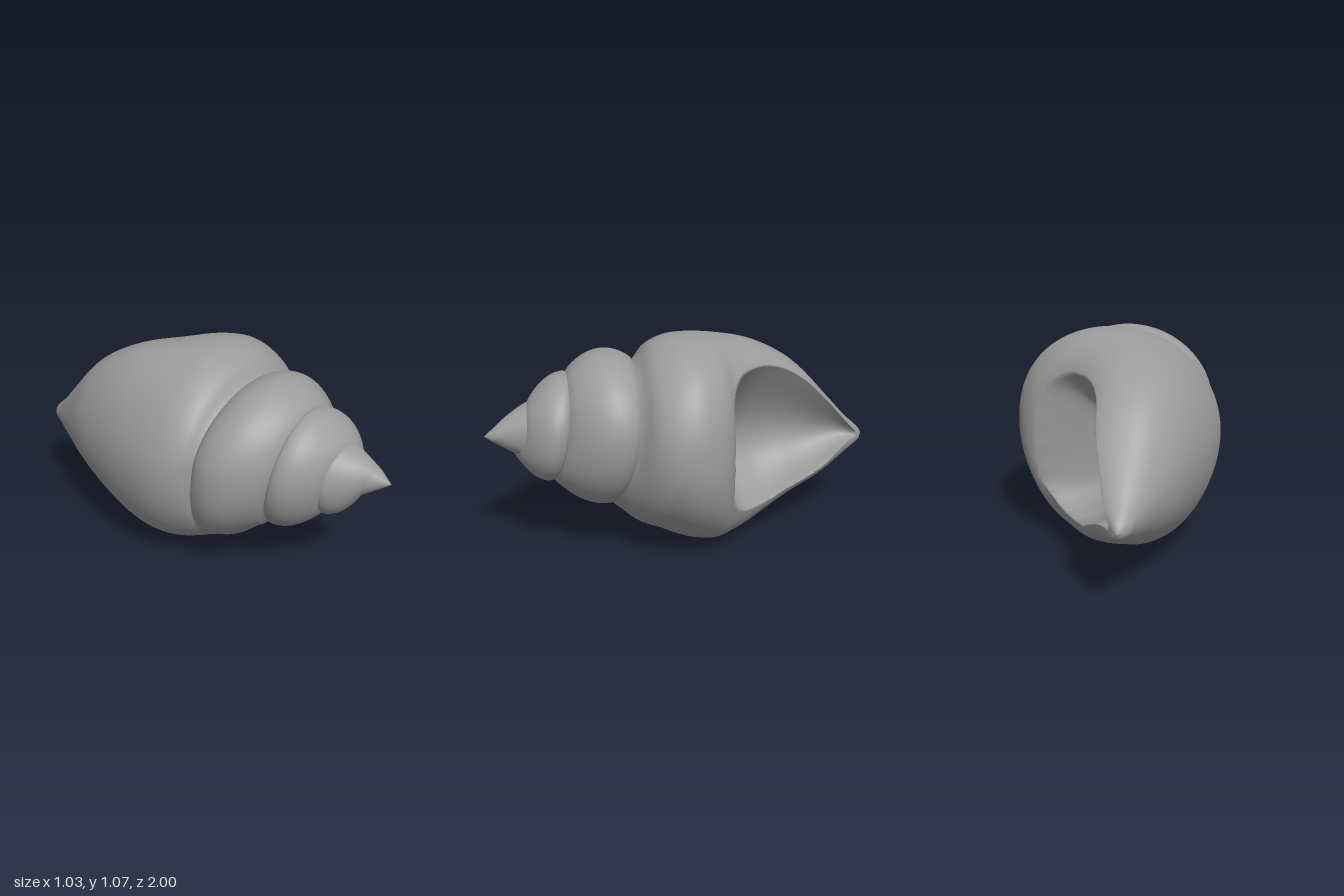
import * as THREE from 'three';

// Smooth 1D curve through [t, value] pairs
function curve(pairs) {
  const f = new THREE.CubicInterpolant(pairs.map(p => p[0]), pairs.map(p => p[1]), 1, new Float32Array(1));
  return t => f.evaluate(t)[0];
}
const steps = values => curve(values.map((v, i) => [i, v]));
const { lerp, smoothstep } = THREE.MathUtils;

// Shell axis (z runs from the canal tip at -1 to the apex at +1)
const axisX = curve([[-1, -.07], [-.6, -.1], [-.3, -.08], [0, 0], [.3, 0]]);
const axisY = curve([[-1, .43], [-.6, .53], [-.3, .53], [0, .55], [.25, .63], [1, .63]]);

// Outlines of the body whorl on its four sides
const leftX = curve([[-1, -.075], [-.985, -.1], [-.9, -.16], [-.8, -.225], [-.6, -.345], [-.4, -.425], [-.2, -.485],
  [0, -.515], [.1, -.5], [.16, -.47], [.2, -.43], [.3, -.42], [.55, -.4]]);
const rightX = curve([[-1, -.065], [-.985, -.05], [-.95, -.025], [-.85, .04], [-.75, .105], [-.66, .145], [-.5, .175],
  [-.3, .26], [-.17, .36], [-.1, .45], [0, .505], [.1, .515], [.2, .48], [.26, .42], [.31, .33], [.42, .33], [.55, .32]]);
const topY = curve([[-1, .435], [-.985, .46], [-.95, .495], [-.9, .54], [-.8, .65], [-.6, .86], [-.4, .98], [-.2, 1.04],
  [0, 1.07], [.1, 1.06], [.2, 1.01], [.26, .94], [.33, .93], [.55, .9]]);
const bottomY = curve([[-1, .425], [-.985, .4], [-.95, .378], [-.9, .353], [-.8, .3], [-.6, .2], [-.4, .1], [-.2, .02],
  [-.1, .003], [0, .015], [.1, .05], [.2, .095], [.3, .14], [.42, .25], [.55, .3]]);

// Spiral tables, one entry per quarter turn: bottom, left, top, right, ...
const sutureZ = steps([.13, .2, .26, .31, .42, .55, .59, .62, .69, .75, .79, .81, .86, .9, .93, .95, .975, 1]);
const sutureR = steps([.4, .4, .4, .38, .38, .32, .25, .2, .245, .19, .13, .1, .1, .08, .055, .035, .02, 0]);
const bulge = steps([.075, .085, .075, .075, .055, .055, .04, .065, .05, .015, .005, 0, 0, 0, 0, 0, 0, 0]);
const LAST = 17;

// Aperture: edges and depth along z
const mouthTop = curve([[-.96, .45], [-.88, .53], [-.75, .67], [-.6, .81], [-.45, .89], [-.3, .91], [-.2, .88], [-.14, .8]]);
const mouthBottom = curve([[-.96, .43], [-.88, .42], [-.7, .33], [-.5, .245], [-.35, .21], [-.2, .24], [-.14, .32]]);
const mouthDepth = curve([[-.96, 0], [-.9, .05], [-.85, .09], [-.7, .2], [-.5, .28], [-.4, .31], [-.3, .34], [-.2, .38],
  [-.175, .36], [-.155, .15], [-.14, 0]]);

const angle = k => -Math.PI / 2 * (1 + k);
const seamZ = k => k >= LAST ? 1 : sutureZ(k);

// Radius of the body whorl, a rounded section fitted to the four outlines.
// Past the first quarter each outline slides so its shoulder meets the winding suture.
function bodyR(k, z) {
  const c = Math.cos(angle(k)), s = Math.sin(angle(k));
  const slide = k > 1 ? smoothstep(z, -.05, .2) : 0;
  const at = quarter => z + slide * (sutureZ(quarter) - sutureZ(k));
  const a = c > 0 ? rightX(at(3)) - axisX(z) : axisX(z) - leftX(at(1));
  const b = s > 0 ? topY(at(2)) - axisY(z) : axisY(z) - bottomY(at(4));
  // fuller lower lip on the aperture side, flatter upper left
  let p = 2;
  if (c > 0) p += s > 0 ? .3 * smoothstep(-z, -.2, 0) : 1.4 * smoothstep(-z, 0, .35);
  else if (s > 0) p = 1.88;
  return (Math.abs(c / Math.max(.001, a)) ** p + Math.abs(s / Math.max(.001, b)) ** p) ** (-1 / p);
}
const seamR = k => k >= LAST ? 0 : k < 4 ? bodyR(k, seamZ(k)) : sutureR(k);

function place(k, z, r) {
  return new THREE.Vector3(axisX(z) + r * Math.cos(angle(k)), axisY(z) + r * Math.sin(angle(k)), z);
}

// Body whorl with the aperture hollowed in from the +x side
function bodyPoint(u, v) {
  const k = u * 4, z = -1 + (seamZ(k) + 1) * v ** 1.25;
  const p = place(k, z, bodyR(k, z));
  if (p.x > axisX(z) && z > -.96 && z < -.14) {
    // deepest below the middle, with a soft lower lip
    const hi = mouthTop(z), lo = mouthBottom(z), t = (p.y - lo) / (hi - lo);
    const q = 2 * Math.max(0, Math.min(1, t)) ** .75 - 1;
    p.x -= Math.max(0, mouthDepth(z)) * (1 - q * q) ** .9;
  }
  return p;
}

// Spire: one long strip winding up to the apex between neighbouring sutures
function spirePoint(u, v) {
  const k = u * LAST;
  const z = lerp(seamZ(k), seamZ(k + 4), v);
  const r = lerp(seamR(k), seamR(k + 4), v) + bulge(k) * Math.max(0, Math.sin(Math.PI * v)) ** .7;
  // the first quarter turn grows smoothly out of the body whorl
  const w = Math.max(smoothstep(k, 0, .8), v ** 6);
  return place(k, z, w < 1 ? lerp(bodyR(k, z), r, w) : r);
}

function sheet(point, nu, nv) {
  const pos = [], index = [];
  for (let i = 0; i <= nu; i++) {
    for (let j = 0; j <= nv; j++) {
      pos.push(...point(i / nu, j / nv).toArray());
      if (i < nu && j < nv) {
        const a = i * (nv + 1) + j, b = a + nv + 1;
        index.push(a, a + 1, b, b, a + 1, b + 1);
      }
    }
  }
  const g = new THREE.BufferGeometry();
  g.setAttribute('position', new THREE.Float32BufferAttribute(pos, 3));
  g.setIndex(index);
  g.computeVertexNormals();
  return g;
}

export function createModel() {
  const group = new THREE.Group();
  group.name = 'seaShell';
  const material = new THREE.MeshStandardMaterial({ color: 0x9c9c9c, side: THREE.DoubleSide });
  const add = (name, geometry) => {
    const mesh = new THREE.Mesh(geometry, material);
    mesh.name = name;
    group.add(mesh);
  };
  add('bodyWhorl', sheet(bodyPoint, 320, 160));
  add('spire', sheet(spirePoint, 408, 24));
  return group;
}
